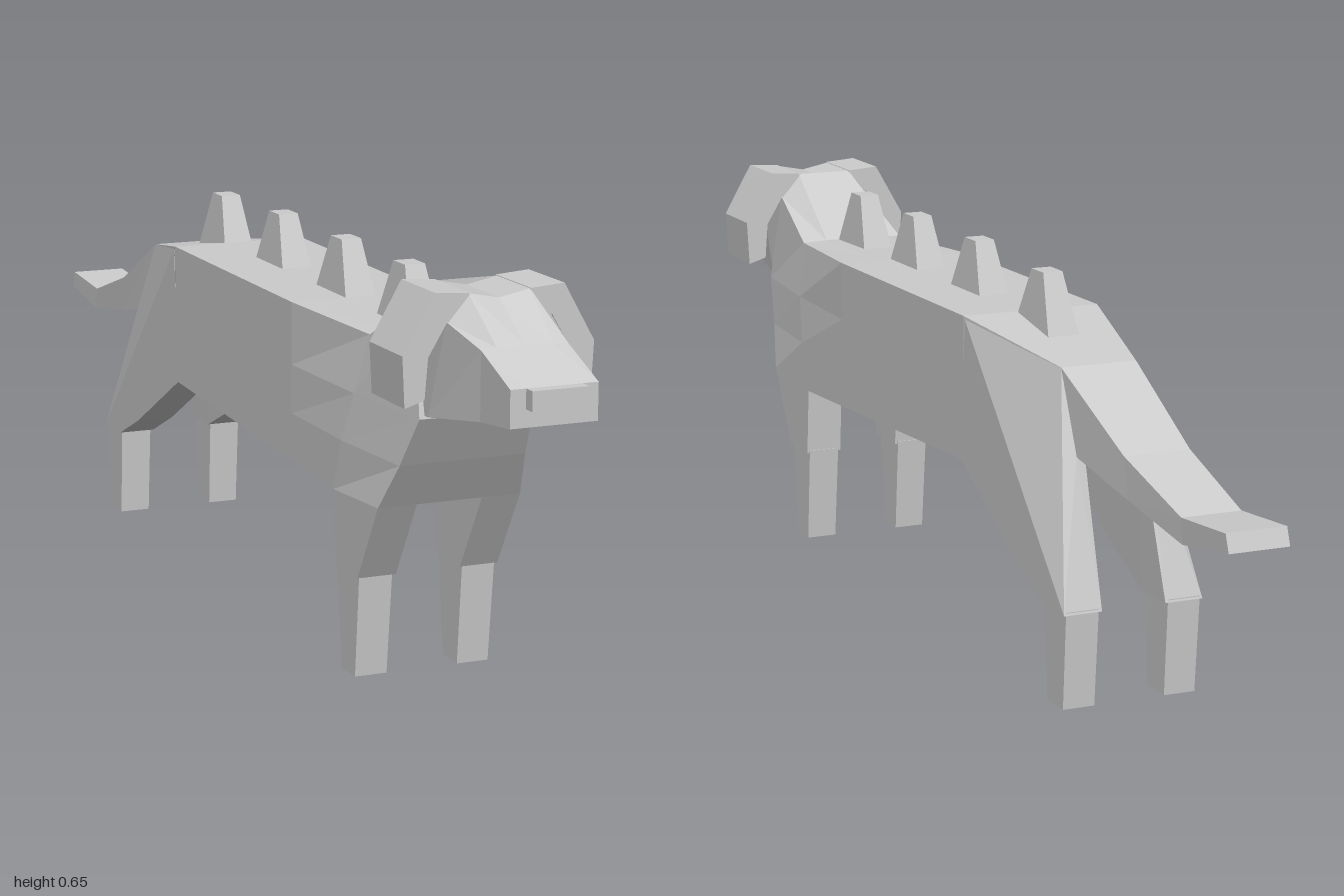
import * as THREE from 'three';
import { ConvexGeometry } from 'three/addons/geometries/ConvexGeometry.js';

const material = new THREE.MeshStandardMaterial({ color: 0xcccccc, flatShading: true });

// Skins symmetric cross-sections, given front to back.
// Each section lists its +x half [x, y, z] from bottom to top.
function loft(sections) {
  const rings = sections.map((half) => {
    const right = half.map((p) => new THREE.Vector3(...p));
    const left = right.map((p) => new THREE.Vector3(-p.x, p.y, p.z)).reverse();
    return [...right, ...left];
  });
  const positions = [];
  const tri = (a, b, c) => {
    const area = b.clone().sub(a).cross(c.clone().sub(a)).length();
    if (area > 1e-8) for (const p of [a, b, c]) positions.push(p.x, p.y, p.z);
  };
  const quad = (a, b, c, d) => { tri(a, b, c); tri(a, c, d); };
  const n = rings[0].length;
  for (let i = 0; i < rings.length - 1; i++) {
    const f = rings[i], r = rings[i + 1];
    for (let j = 0; j < n; j++) {
      const k = (j + 1) % n;
      quad(f[j], r[j], r[k], f[k]);
    }
  }
  // End caps in strips between mirrored points
  const front = rings[0], back = rings[rings.length - 1];
  for (let j = 0; j < n / 2 - 1; j++) {
    quad(front[j], front[j + 1], front[n - 2 - j], front[n - 1 - j]);
    quad(back[n - 1 - j], back[n - 2 - j], back[j + 1], back[j]);
  }
  const geometry = new THREE.BufferGeometry();
  geometry.setAttribute('position', new THREE.Float32BufferAttribute(positions, 3));
  geometry.computeVertexNormals();
  return geometry;
}

// Box with separate bottom and top sizes, standing on y = 0
function taperedBox(height, bottomX, bottomZ, topX, topZ) {
  const geometry = new THREE.BoxGeometry(1, height, 1).translate(0, height / 2, 0);
  const p = geometry.attributes.position;
  for (let i = 0; i < p.count; i++) {
    const top = p.getY(i) > height / 2;
    p.setX(i, p.getX(i) * (top ? topX : bottomX));
    p.setZ(i, p.getZ(i) * (top ? topZ : bottomZ));
  }
  geometry.computeVertexNormals();
  return geometry;
}

export function createModel() {
  const model = new THREE.Group();
  model.name = 'spinedAnimal';
  const add = (name, geometry, x = 0, y = 0, z = 0) => {
    const mesh = new THREE.Mesh(geometry, material);
    mesh.name = name;
    mesh.position.set(x, y, z);
    model.add(mesh);
    return mesh;
  };

  // Chest, neck, trunk and rump
  add('body', loft([
    [[0.12, 0.295, 0.64], [0.105, 0.37, 0.685], [0.094, 0.45, 0.73], [0.085, 0.61, 0.69], [0.05, 0.65, 0.69]],
    [[0.12, 0.285, 0.47], [0.12, 0.37, 0.5], [0.112, 0.45, 0.53], [0.095, 0.545, 0.55], [0.05, 0.547, 0.55]],
    [[0.12, 0.292, 0.3], [0.12, 0.37, 0.3], [0.12, 0.45, 0.3], [0.12, 0.552, 0.3], [0.05, 0.552, 0.3]],
    [[0.12, 0.315, -0.22], [0.12, 0.38, -0.225], [0.12, 0.45, -0.23], [0.12, 0.555, -0.23], [0.05, 0.555, -0.23]],
    [[0.065, 0.385, -0.535], [0.065, 0.42, -0.52], [0.065, 0.46, -0.504], [0.065, 0.515, -0.48], [0.04, 0.515, -0.48]],
  ]));

  // Tail
  add('tail', loft([
    [[0.065, 0.385, -0.535], [0.065, 0.515, -0.48]],
    [[0.056, 0.353, -0.695], [0.056, 0.418, -0.68]],
    [[0.05, 0.325, -0.86], [0.05, 0.365, -0.855]],
    [[0.05, 0.347, -1.0], [0.05, 0.375, -0.99]],
  ]));

  // Head with stepped muzzle
  add('head', loft([
    [[0.07, 0.488, 0.98], [0.07, 0.545, 0.98], [0.045, 0.545, 0.98], [0, 0.545, 0.98]],
    [[0.07, 0.478, 0.885], [0.07, 0.583, 0.885], [0.045, 0.585, 0.885], [0, 0.585, 0.885]],
    [[0.085, 0.455, 0.74], [0.085, 0.61, 0.8], [0.05, 0.65, 0.8], [0, 0.64, 0.8]],
    [[0.085, 0.455, 0.7], [0.085, 0.61, 0.69], [0.05, 0.65, 0.69], [0, 0.64, 0.69]],
  ]));
  add('nose', new THREE.BoxGeometry(0.09, 0.03, 0.04), 0, 0.53, 0.98);

  // Spines along the back
  [0.485, 0.24, -0.025, -0.29].forEach((z, i) => {
    add('backSpine', taperedBox(0.1, 0.055, 0.13, 0.034, 0.044), 0, i === 3 ? 0.532 : 0.54, z);
  });

  const earOutline = [[0.045, 0.6], [0.085, 0.61], [0.115, 0.56], [0.12, 0.497],
    [0.152, 0.487], [0.156, 0.565], [0.105, 0.655], [0.05, 0.651]];
  const thighOutline = [[0.315, -0.22], [0.2, -0.43], [0.155, -0.53], [0.155, -0.61]];
  const shoulderOutline = [[0.295, 0.64], [0.165, 0.565], [0.165, 0.48], [0.285, 0.47]];
  const slab = (outline) => outline.flatMap(([y, z]) =>
    [0.055, 0.12].map((x) => new THREE.Vector3(x, y, z)));

  for (const side of [1, -1]) {
    const label = side > 0 ? 'left' : 'right';
    const mirror = (points) => points.map((p) => new THREE.Vector3(p.x * side, p.y, p.z));

    // Folded ears
    const shape = new THREE.Shape(earOutline.map(([x, y]) => new THREE.Vector2(x * side, y)));
    add(label + 'Ear', new THREE.ExtrudeGeometry(shape, { depth: 0.117, bevelEnabled: false }), 0, 0, 0.686);

    // Thighs merge into the rump, shoulders into the chest
    add(label + 'Thigh', new ConvexGeometry(mirror([
      ...slab(thighOutline),
      new THREE.Vector3(0.12, 0.55, -0.235),
      new THREE.Vector3(0.065, 0.514, -0.48),
      new THREE.Vector3(0.065, 0.385, -0.537),
      new THREE.Vector3(0.05, 0.385, -0.535),
    ])));
    add(label + 'Shoulder', new ConvexGeometry(mirror(slab(shoulderOutline))));

    // Lower legs
    add(label + 'FrontLeg', taperedBox(0.17, 0.054, 0.052, 0.056, 0.085), side * 0.088, 0, 0.52);
    add(label + 'RearLeg', taperedBox(0.16, 0.054, 0.056, 0.056, 0.078), side * 0.088, 0, -0.57);
  }
  return model;
}
